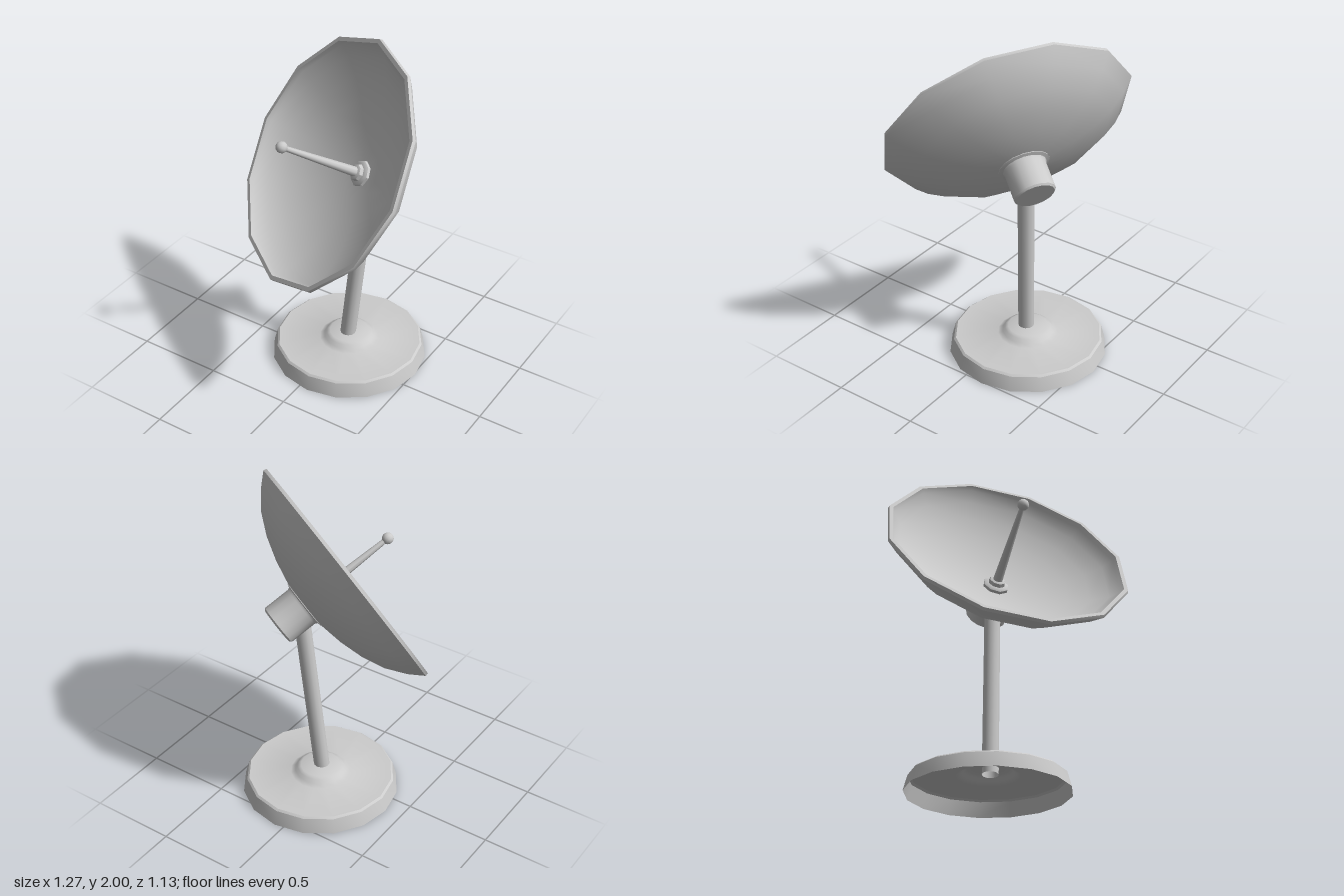
import * as THREE from 'three';
import { toCreasedNormals } from 'three/addons/utils/BufferGeometryUtils.js';

const material = new THREE.MeshStandardMaterial({ color: 0xcccccc, side: THREE.DoubleSide });

function makeMesh(name, geometry) {
  const mesh = new THREE.Mesh(geometry, material);
  mesh.name = name;
  return mesh;
}

// Turned part from [radius, height] pairs, with hard edges kept sharp
function turned(name, profile, sides) {
  const points = profile.map(([r, y]) => new THREE.Vector2(r, y));
  return makeMesh(name, toCreasedNormals(new THREE.LatheGeometry(points, sides), 0.6));
}

// Open tapered rod between two points
function rod(name, from, to, r0, r1, sides) {
  const dir = to.clone().sub(from);
  const mesh = makeMesh(name, new THREE.CylinderGeometry(r1, r0, dir.length(), sides, 1, true));
  mesh.position.copy(from).addScaledVector(dir, 0.5);
  mesh.quaternion.setFromUnitVectors(new THREE.Vector3(0, 1, 0), dir.normalize());
  return mesh;
}

export function createModel() {
  const model = new THREE.Group();
  model.name = 'satelliteDish';

  // Hollow round foot with raised collar
  const base = turned('base', [
    [0.457, 0], [0.434, 0.085], [0.422, 0.095], [0.175, 0.095],
    [0.148, 0.108], [0.135, 0.128], [0.115, 0.138], [0, 0.138],
  ], 16);
  base.position.set(0.055, 0, -0.115);
  model.add(base);

  // Leaning pole
  model.add(rod('pole', new THREE.Vector3(0.052, 0.1, -0.1),
    new THREE.Vector3(0.145, 1.2, -0.16), 0.046, 0.046, 12));

  // Tilted head: local y is the dish axis, origin at the rim centre
  const head = new THREE.Group();
  head.name = 'head';
  const axis = new THREE.Vector3(-0.458, 0.525, 0.718).normalize();
  const side = new THREE.Vector3(0.11, 0.607, -0.37);
  side.addScaledVector(axis, -side.dot(axis)).normalize();
  head.quaternion.setFromRotationMatrix(new THREE.Matrix4().makeBasis(
    side, axis, side.clone().cross(axis)));
  head.position.set(0, 1.393, 0.07);
  model.add(head);

  // Twelve-sided bowl: back surface, rim, then front surface
  head.add(turned('dish', [
    [0, -0.3], [0.15, -0.292], [0.29, -0.265], [0.43, -0.222], [0.55, -0.165], [0.65, -0.09],
    [0.72, -0.018], [0.716, 0], [0.692, 0], [0.68, -0.025],
    [0.63, -0.082], [0.535, -0.145], [0.42, -0.198], [0.28, -0.24], [0.14, -0.264], [0, -0.27],
  ], 12));

  // Rear mount with flange
  head.add(turned('rearMount', [
    [0, -0.483], [0.108, -0.483], [0.118, -0.473], [0.118, -0.315],
    [0.124, -0.302], [0.145, -0.296], [0.145, -0.27],
  ].map((p) => p), 16));

  // Stepped boss, feed rod and ball tip
  head.add(turned('feedBoss', [
    [0.075, -0.28], [0.075, -0.25], [0.065, -0.243], [0.05, -0.24],
    [0.045, -0.22], [0.035, -0.215], [0, -0.215],
  ], 8));
  head.add(rod('feedRod', new THREE.Vector3(0, -0.23, 0),
    new THREE.Vector3(0, 0.28, 0), 0.029, 0.014, 8));
  const tip = makeMesh('feedTip', new THREE.SphereGeometry(0.033, 12, 8));
  tip.position.y = 0.285;
  head.add(tip);

  return model;
}
